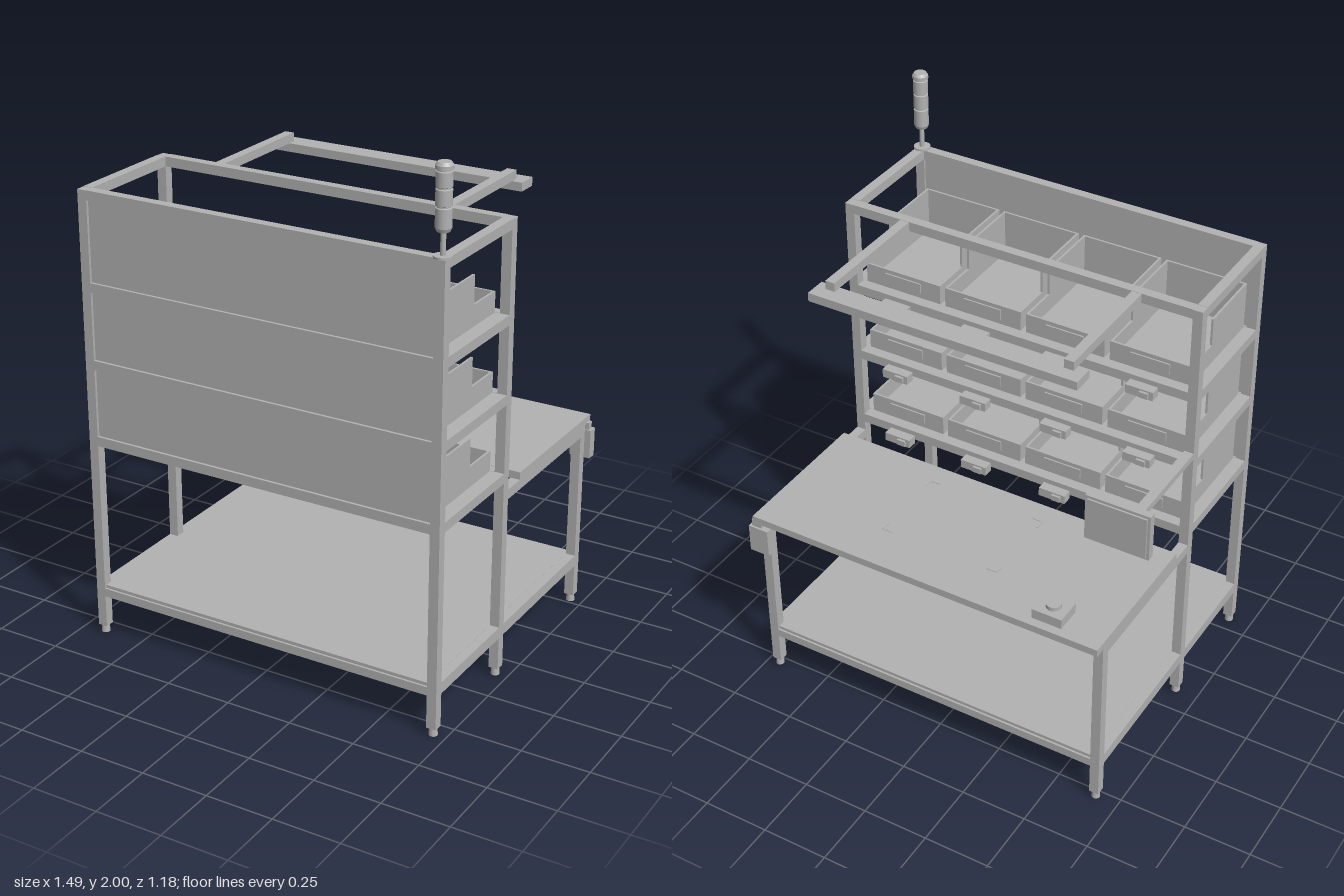
import * as THREE from 'three';

const grey = new THREE.MeshStandardMaterial({ color: 0xb2b2b2 });
grey.name = 'grey';

export function createModel() {
  const root = new THREE.Group();
  root.name = 'assemblyWorkstation';

  const add = (name, geo, parent = root) => {
    const m = new THREE.Mesh(geo, grey);
    m.name = name;
    parent.add(m);
    return m;
  };
  // box given by its extents on each axis
  const box = (name, x0, x1, y0, y1, z0, z1, parent = root) => {
    const m = add(name, new THREE.BoxGeometry(x1 - x0, y1 - y0, z1 - z0), parent);
    m.position.set((x0 + x1) / 2, (y0 + y1) / 2, (z0 + z1) / 2);
    return m;
  };
  const cyl = (name, x, y0, y1, z, rTop, rBottom = rTop, parent = root) => {
    const m = add(name, new THREE.CylinderGeometry(rTop, rBottom, y1 - y0, 24), parent);
    m.position.set(x, (y0 + y1) / 2, z);
    return m;
  };

  const L = -0.68, R = 0.72, T = 0.036;        // frame sides and tube size
  const li = L + T, ri = R - T;                // inner faces
  const zBack = 0.544, zMid = 0.084, zFront = -0.543; // low z face of each post row
  const sides = [L, ri];

  // posts and feet
  for (const x of sides) {
    for (const [z, top] of [[zBack, 1.695], [zMid, 1.695], [zFront, 0.68]]) {
      box('post', x, x + T, 0.03, top, z, z + T);
      cyl('foot', x + T / 2, 0, 0.03, z + T / 2, 0.014, 0.016);
    }
  }

  // lower frame and lower shelf
  for (const x of sides) {
    box('lowerSideRail', x, x + T, 0.154, 0.197, zMid + T, zBack);
    box('lowerSideRail', x, x + T, 0.154, 0.197, zFront + T, zMid);
  }
  for (const z of [zBack, zMid, zFront]) box('lowerCrossRail', li, ri, 0.154, 0.186, z, z + T);
  box('lowerShelf', li, ri, 0.186, 0.198, zFront + 0.008, zBack + T - 0.008);

  // work table
  for (const x of sides) box('tableSideRail', x, x + T, 0.68, 0.717, zFront, zMid);
  box('tableTop', L, R, 0.717, 0.745, -0.586, -0.005);

  // corner marks on the table top
  for (const sx of [-1, 1]) for (const sz of [-1, 1]) {
    const x = 0.045 + sx * 0.235, z = -0.25 + sz * 0.16;
    box('placementMark', Math.min(x, x - sx * 0.04), Math.max(x, x - sx * 0.04), 0.745, 0.747, z - 0.003, z + 0.003);
    box('placementMark', x - 0.003, x + 0.003, 0.745, 0.747, Math.min(z, z - sz * 0.04), Math.max(z, z - sz * 0.04));
  }

  // rack levels
  const levels = [0.754, 1.043, 1.329];
  for (const y of [...levels, 1.66]) {
    for (const x of sides) box('rackSideRail', x, x + T, y, y + T, zMid + T, zBack);
    for (const z of [zBack, zMid]) box('rackCrossRail', li, ri, y, y + T, z, z + T);
  }

  // stepped, open-topped storage bin; origin at the middle of its floor line
  const w = 0.155, t = 0.008, zF = 0.124, zB = 0.538;
  const profile = new THREE.Shape([[zF, 0], [zB, 0], [zB, 0.18], [0.275, 0.18], [0.275, 0.075], [zF, 0.075]]
    .map(([z, y]) => new THREE.Vector2(-z, y)));
  const sideGeo = new THREE.ExtrudeGeometry(profile, { depth: t, bevelEnabled: false });
  sideGeo.rotateY(Math.PI / 2);                // shape x becomes -z, depth becomes +x
  const makeBin = (x, y) => {
    const bin = new THREE.Group();
    bin.name = 'storageBin';
    bin.position.set(x, y, 0);
    root.add(bin);
    for (const sx of [-w, w - t]) add('binSide', sideGeo, bin).position.x = sx;
    box('binFloor', -w + t, w - t, 0, t, zF, zB, bin);
    box('binBack', -w + t, w - t, t, 0.18, zB - t, zB, bin);
    box('binFront', -w + t, w - t, t, 0.075, zF, zF + t, bin);
    box('binLabel', -0.075, 0.075, 0.02, 0.06, zF - 0.006, zF, bin);
  };

  // shelves, back panels, bins and indicator units
  levels.forEach((y, i) => {
    const top = y + T;
    box('rackShelf', li, ri, top - 0.012, top - 0.001, zMid + T, zBack);
    box('backPanel', li, ri, top, (levels[i + 1] ?? 1.66), zBack + 0.008, zBack + 0.026);
    for (let k = 0; k < 4; k++) {
      const x = -0.48 + k * 0.331;
      makeBin(x, top + 0.001);
      box('indicatorUnit', x - 0.053, x + 0.053, y - 0.017, y + 0.017, 0.046, zMid);
      box('indicatorButton', x - 0.037, x - 0.003, y - 0.011, y + 0.011, 0.036, 0.046);
    }
  });

  // overhead arms with lamp bar
  for (const x of [-0.455, 0.453]) box('overheadArm', x, x + T, 1.662, 1.695, -0.375, zMid);
  box('lampBar', -0.495, 0.527, 1.63, 1.662, -0.425, -0.344);

  // screen on its arm
  box('screenArm', L, li, 1.097, 1.122, -0.338, zMid);
  box('screenHousing', -0.745, -0.503, 1.0, 1.18, -0.366, -0.338);
  box('screenFace', -0.735, -0.513, 1.01, 1.17, -0.373, -0.366);

  // push-button box
  box('buttonBox', -0.525, -0.411, 0.745, 0.783, -0.553, -0.453);
  cyl('pushButton', -0.468, 0.783, 0.798, -0.503, 0.027);

  // hand tool holder at the table corner
  box('holderBody', 0.66, 0.74, 0.585, 0.695, -0.588, -0.55);
  box('holderNeck', 0.69, 0.73, 0.695, 0.722, -0.58, -0.555);

  // signal tower
  const sx = R - T / 2, sz = zBack + T / 2;
  cyl('towerBase', sx, 1.695, 1.703, sz, 0.031);
  cyl('towerPole', sx, 1.703, 1.78, sz, 0.009);
  const tower = [[0, 1.78], [0.022, 1.78], [0.027, 1.792],
    [0.027, 1.855], [0.023, 1.857], [0.023, 1.861], [0.027, 1.863],
    [0.027, 1.914], [0.023, 1.916], [0.023, 1.92], [0.027, 1.922],
    [0.027, 1.97], [0.023, 1.972], [0.023, 1.976], [0.029, 1.978],
    [0.029, 1.99], [0.022, 2.0], [0, 2.0]].map(([r, y]) => new THREE.Vector2(r, y));
  // doubled points keep the section edges crisp
  const crisp = tower.slice(0, -1).map((p, i) => new THREE.LatheGeometry([p, tower[i + 1]], 24));
  const signal = new THREE.Group();
  signal.name = 'signalTower';
  signal.position.set(sx, 0, sz);
  root.add(signal);
  crisp.forEach((g) => add('towerSection', g, signal));

  return root;
}
